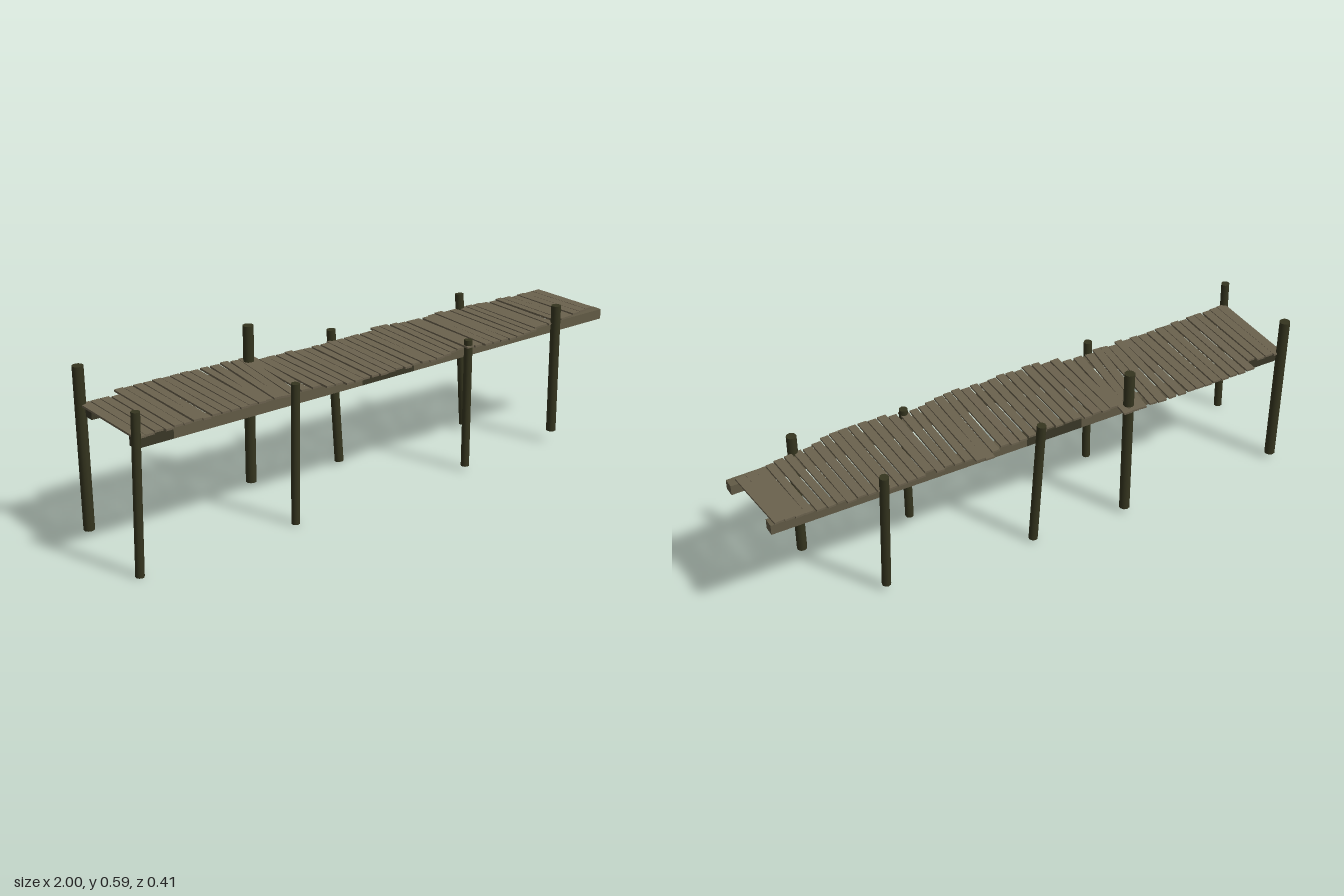
import * as THREE from 'three';

const mat = (name, color) => {
  const m = new THREE.MeshStandardMaterial({ color });
  m.name = name;
  return m;
};

// piecewise-linear lookup in [[x, value], ...]
function lerpAt(table, x) {
  for (let i = 1; i < table.length; i++) {
    const [x0, v0] = table[i - 1], [x1, v1] = table[i];
    if (x <= x1) return v0 + (v1 - v0) * Math.max(0, (x - x0) / (x1 - x0));
  }
  return table[table.length - 1][1];
}

export function createModel() {
  const model = new THREE.Group();
  model.name = 'dock';
  const postWood = mat('dark post wood', 0x35351f);
  const plankWood = mat('weathered plank wood', 0x6b624e);
  const beamWood = mat('beam wood', 0x625b46);
  const beamDark = mat('dark beam wood', 0x3a3727);

  let seed = 7;
  const rnd = () => {
    seed = (seed * 16807) % 2147483647;
    return seed / 2147483647 - 0.5;
  };

  // Posts: bottom point, top point, radius
  const posts = [
    [-0.984, 0.002, 0.184, -0.97, 0.55, 0.181, 0.015],
    [-0.382, 0.003, 0.163, -0.382, 0.5, 0.172, 0.015],
    [0.344, 0.018, 0.162, 0.35, 0.485, 0.158, 0.015],
    [0.755, 0.048, 0.157, 0.755, 0.526, 0.157, 0.0175],
    [-0.965, 0.02, -0.172, -0.97, 0.59, -0.173, 0.019],
    [-0.335, 0.02, -0.172, -0.335, 0.59, -0.168, 0.019],
    [0.024, 0.011, -0.15, 0.006, 0.502, -0.17, 0.0165],
    [0.575, 0.024, -0.123, 0.583, 0.516, -0.172, 0.016],
  ];
  const up = new THREE.Vector3(0, 1, 0);
  posts.forEach(([x0, y0, z0, x1, y1, z1, r], i) => {
    const a = new THREE.Vector3(x0, y0, z0), b = new THREE.Vector3(x1, y1, z1);
    const dir = b.clone().sub(a);
    const post = new THREE.Mesh(new THREE.CylinderGeometry(r, r, dir.length(), 10), postWood);
    post.position.copy(a).add(b).multiplyScalar(0.5);
    post.quaternion.setFromUnitVectors(up, dir.normalize());
    post.name = 'post' + (i + 1);
    model.add(post);
  });

  // Long beams, split where the wood changes colour
  function beam(name, zA, zB, cuts) {
    const group = new THREE.Group();
    group.name = name;
    const xA = cuts[0], xB = cuts[cuts.length - 1];
    const angle = Math.atan2(zB - zA, xB - xA);
    for (let i = 1; i < cuts.length; i++) {
      const length = (cuts[i] - cuts[i - 1]) / Math.cos(angle);
      const x = (cuts[i] + cuts[i - 1]) / 2;
      const piece = new THREE.Mesh(new THREE.BoxGeometry(length, 0.036, 0.038), i % 2 ? beamDark : beamWood);
      piece.position.set(x, 0.438, zA + (zB - zA) * (x - xA) / (xB - xA));
      piece.rotation.y = -angle;
      group.add(piece);
    }
    model.add(group);
  }
  beam('frontBeam', 0.146, 0.116, [-0.965, -0.83, -0.1, 0.12, 0.998]);
  beam('backBeam', -0.138, -0.127, [-0.96, -0.84, -0.16, 0.05, 0.965]);

  // Planks: ragged outline at the back and the front of the deck
  const backEdge = [[-0.97, -0.165], [-0.84, -0.165], [-0.835, -0.206], [-0.3, -0.206], [-0.295, -0.158],
    [0, -0.155], [0.16, -0.165], [0.22, -0.19], [0.27, -0.17], [0.42, -0.16], [0.5, -0.177], [0.6, -0.172],
    [0.72, -0.157], [0.97, -0.15]];
  const frontEdge = [[-0.97, 0.172], [-0.5, 0.163], [-0.3, 0.16], [-0.2, 0.19], [0.2, 0.188], [0.32, 0.168],
    [0.42, 0.186], [0.6, 0.178], [0.72, 0.15], [0.97, 0.115]];
  // sideways lean of the front end of each plank
  const lean = [[-0.97, 0], [-0.55, 0], [-0.39, -0.045], [-0.34, -0.035], [-0.28, 0.005], [0.2, -0.005],
    [0.6, 0.01], [0.97, 0.02]];
  const deck = new THREE.Group();
  deck.name = 'deck';
  const count = 55, pitch = 1.935 / count;
  for (let i = 0; i < count; i++) {
    const x = -0.972 + pitch * (i + 0.5);
    const ragged = x < 0.85 ? 0.014 : 0.003;
    const z0 = lerpAt(backEdge, x) + (x > -0.84 && x < -0.3 ? 0 : rnd() * ragged);
    const z1 = lerpAt(frontEdge, x) + rnd() * ragged;
    const width = x > 0.86 || x < -0.95 ? pitch : pitch * (0.85 + rnd() * 0.16);
    const plank = new THREE.Mesh(new THREE.BoxGeometry(width, 0.007, z1 - z0), plankWood);
    plank.position.set(x, 0.4605 + rnd() * 0.004, (z0 + z1) / 2);
    plank.rotation.set(rnd() * 0.012, (lerpAt(lean, x) + rnd() * 0.008) / (z1 - z0), rnd() * 0.06);
    plank.name = 'plank' + (i + 1);
    deck.add(plank);
  }
  model.add(deck);
  return model;
}
